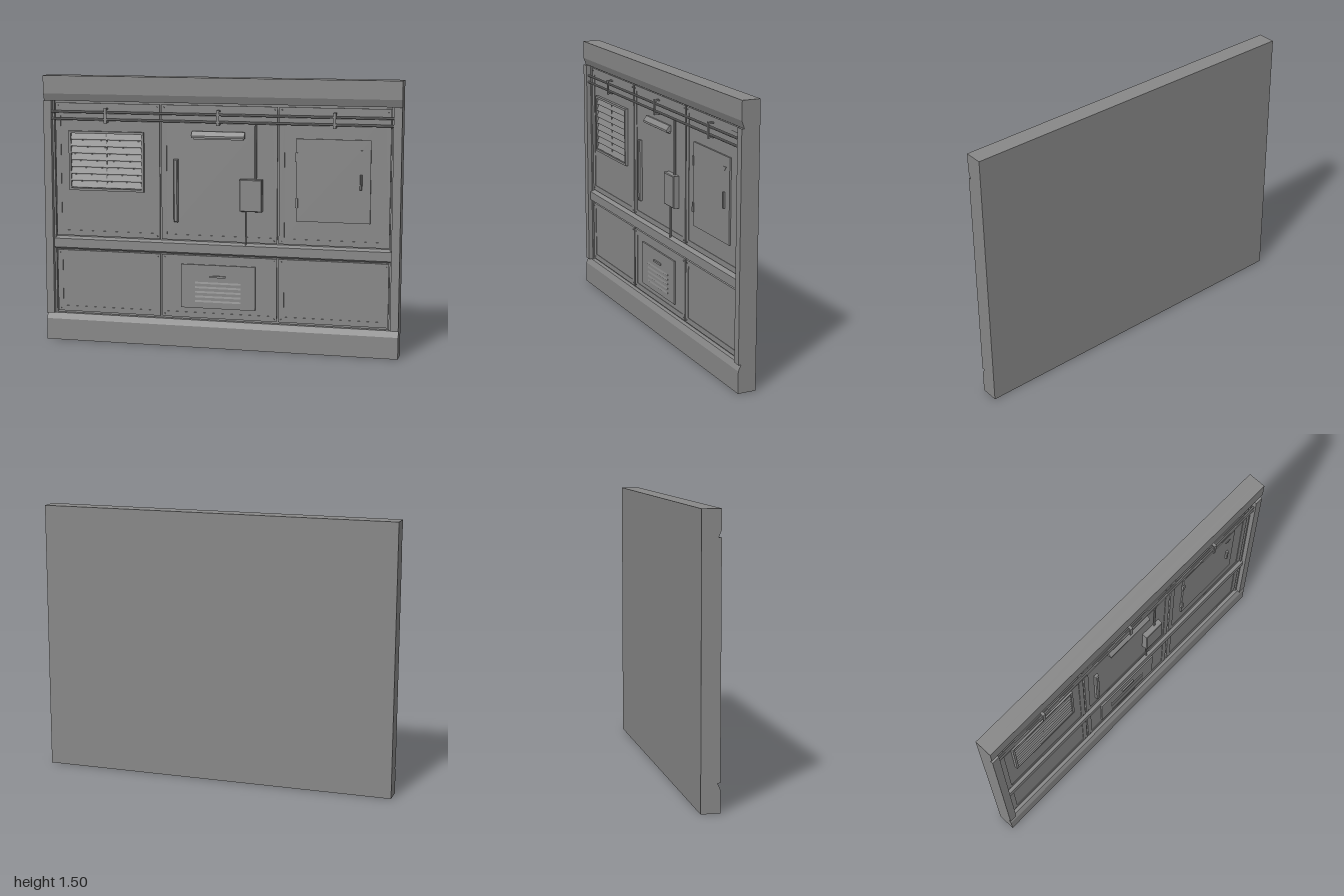
import * as THREE from 'three';

export function createModel() {
  const root = new THREE.Group();
  root.name = 'wallPanel';
  const grey = new THREE.MeshStandardMaterial({ color: 0x888888, flatShading: true });
  grey.name = 'grey metal';

  const add = (name, geo, x = 0, y = 0, z = 0, parent = root) => {
    const m = new THREE.Mesh(geo, grey);
    m.name = name;
    m.position.set(x, y, z);
    parent.add(m);
    return m;
  };
  // Box given by its limits
  const block = (name, x0, x1, y0, y1, z0, z1) =>
    add(name, new THREE.BoxGeometry(x1 - x0, y1 - y0, z1 - z0), (x0 + x1) / 2, (y0 + y1) / 2, (z0 + z1) / 2);
  // Rectangular frame with an opening
  const frame = (name, x0, x1, y0, y1, border, z0, z1) => {
    const path = (P, i) => {
      const p = new P();
      p.moveTo(x0 + i, y0 + i);
      p.lineTo(x1 - i, y0 + i);
      p.lineTo(x1 - i, y1 - i);
      p.lineTo(x0 + i, y1 - i);
      p.closePath();
      return p;
    };
    const s = path(THREE.Shape, 0);
    s.holes.push(path(THREE.Path, border));
    return add(name, new THREE.ExtrudeGeometry(s, { depth: z1 - z0, bevelEnabled: false }), 0, 0, z0);
  };
  // Beam along x from a (z, y) cross-section
  const beam = (name, profile, x0, x1) => {
    const s = new THREE.Shape(profile.map(([z, y]) => new THREE.Vector2(-z, y)));
    const geo = new THREE.ExtrudeGeometry(s, { depth: x1 - x0, bevelEnabled: false });
    geo.rotateY(Math.PI / 2);
    return add(name, geo, x0, 0, 0);
  };
  // Box with chamfered front edges
  const chamferBox = (name, x0, x1, y0, y1, z0, z1, c) => {
    const g = new THREE.BoxGeometry(1, 1, 1, 1, 1, 2);
    const p = g.attributes.position;
    for (let i = 0; i < p.count; i++) {
      const layer = Math.round((p.getZ(i) + 0.5) * 2);
      const inset = layer === 2 ? c : 0;
      p.setXYZ(i, p.getX(i) > 0 ? x1 - inset : x0 + inset,
        p.getY(i) > 0 ? y1 - inset : y0 + inset, [z0, z1 - c, z1][layer]);
    }
    g.computeVertexNormals();
    return add(name, g);
  };
  const rod = (name, r, len, x, y, z, alongX) => {
    const g = new THREE.CylinderGeometry(r, r, len, 10);
    if (alongX) g.rotateZ(Math.PI / 2);
    return add(name, g, x, y, z);
  };

  // Main structure
  block('backSlab', -1, 1, 0, 1.5, -0.05, 0.01);
  beam('topBeam', [[0.01, 1.36], [0.035, 1.36], [0.05, 1.4], [0.05, 1.5], [0.01, 1.5]], -1, 1);
  beam('bottomBeam', [[0.01, 0], [0.05, 0], [0.05, 0.12], [0.035, 0.153], [0.01, 0.153]], -1, 1);
  for (const s of [-1, 1]) {
    block('sidePost', Math.min(s, s * 0.955), Math.max(s, s * 0.955), 0.153, 1.36, 0.01, 0.05);
    block('postLip', Math.min(s * 0.956, s * 0.945), Math.max(s * 0.956, s * 0.945), 0.153, 1.36, 0.01, 0.025);
  }
  beam('middleRail', [[0.01, 0.52], [0.022, 0.525], [0.034, 0.532], [0.034, 0.582], [0.022, 0.589], [0.01, 0.594]], -0.955, 0.955);

  // Wall panels with a shallow tray and corner rivets
  const columns = [[-0.94, -0.336], [-0.326, 0.326], [0.336, 0.94]];
  for (const [x0, x1] of columns) {
    for (const [y0, y1] of [[0.163, 0.515], [0.6, 1.348]]) {
      frame('panelBorder', x0, x1, y0, y1, 0.03, 0.01, 0.019);
      block('panelTray', x0 + 0.03, x1 - 0.03, y0 + 0.03, y1 - 0.03, 0.01, 0.016);
      for (const x of [x0 + 0.015, x1 - 0.015]) for (const y of [y0 + 0.015, y1 - 0.015]) {
        const g = new THREE.CylinderGeometry(0.003, 0.004, 0.003, 8);
        g.rotateX(Math.PI / 2);
        add('rivet', g, x, y, 0.02);
      }
    }
  }

  // Pipes with their clamps
  for (const y of [1.3, 1.26]) rod('pipe', 0.007, 1.91, 0, y, 0.036, true);
  for (const x of [-0.64, 0, 0.64]) {
    block('pipeClamp', x - 0.008, x + 0.008, 1.24, 1.325, 0.043, 0.05);
    for (const y of [1.243, 1.316]) block('clampFoot', x - 0.008, x + 0.008, y, y + 0.008, 0.016, 0.045);
  }

  // Louvred vent
  frame('ventFrame', -0.86, -0.425, 0.86, 1.193, 0.013, 0.015, 0.034);
  for (let i = 0; i < 8; i++) {
    const y = 0.876 + i * 0.0385;
    beam('ventSlat', [[0.016, y], [0.03, y], [0.03, y + 0.005], [0.018, y + 0.033], [0.016, y + 0.033]], -0.847, -0.438);
  }
  block('ventDivider', -0.645, -0.638, 0.873, 1.18, 0.016, 0.025);

  // Grab bar and lamp
  chamferBox('grabBar', -0.254, -0.23, 0.7, 1.05, 0.015, 0.036, 0.005);
  block('lampBase', -0.14, 0.136, 1.163, 1.175, 0.015, 0.028);
  beam('lampHood', [[0.015, 1.172], [0.045, 1.172], [0.045, 1.183], [0.026, 1.207], [0.015, 1.207]], -0.15, 0.146);

  // Junction box and cables
  chamferBox('junctionBox', 0.123, 0.246, 0.775, 0.952, 0.015, 0.05, 0.004);
  rod('upperCable', 0.006, 0.31, 0.207, 1.1, 0.024);
  rod('lowerCable', 0.005, 0.2, 0.152, 0.68, 0.022);

  // Access door with hinges, latch and marker
  block('accessDoor', 0.432, 0.835, 0.73, 1.18, 0.015, 0.025);
  for (const y of [0.83, 1.08]) block('doorHinge', 0.426, 0.441, y - 0.025, y + 0.025, 0.015, 0.03);
  chamferBox('doorLatch', 0.778, 0.79, 0.912, 0.995, 0.024, 0.038, 0.003);
  const tri = new THREE.Shape([[0.765, 1.125], [0.783, 1.105], [0.8, 1.125]].map(p => new THREE.Vector2(...p)));
  add('doorMarker', new THREE.ExtrudeGeometry(tri, { depth: 0.003, bevelEnabled: false }), 0, 0, 0.0245);

  // Lower hatch with handle and slots
  block('lowerHatch', -0.215, 0.206, 0.22, 0.465, 0.015, 0.025);
  block('hatchHandle', -0.05, 0.04, 0.396, 0.406, 0.024, 0.034);
  for (let i = 0; i < 5; i++) {
    const y = 0.255 + i * 0.026;
    beam('hatchSlot', [[0.024, y], [0.028, y], [0.025, y + 0.01], [0.024, y + 0.01]], -0.135, 0.125);
  }
  return root;
}
